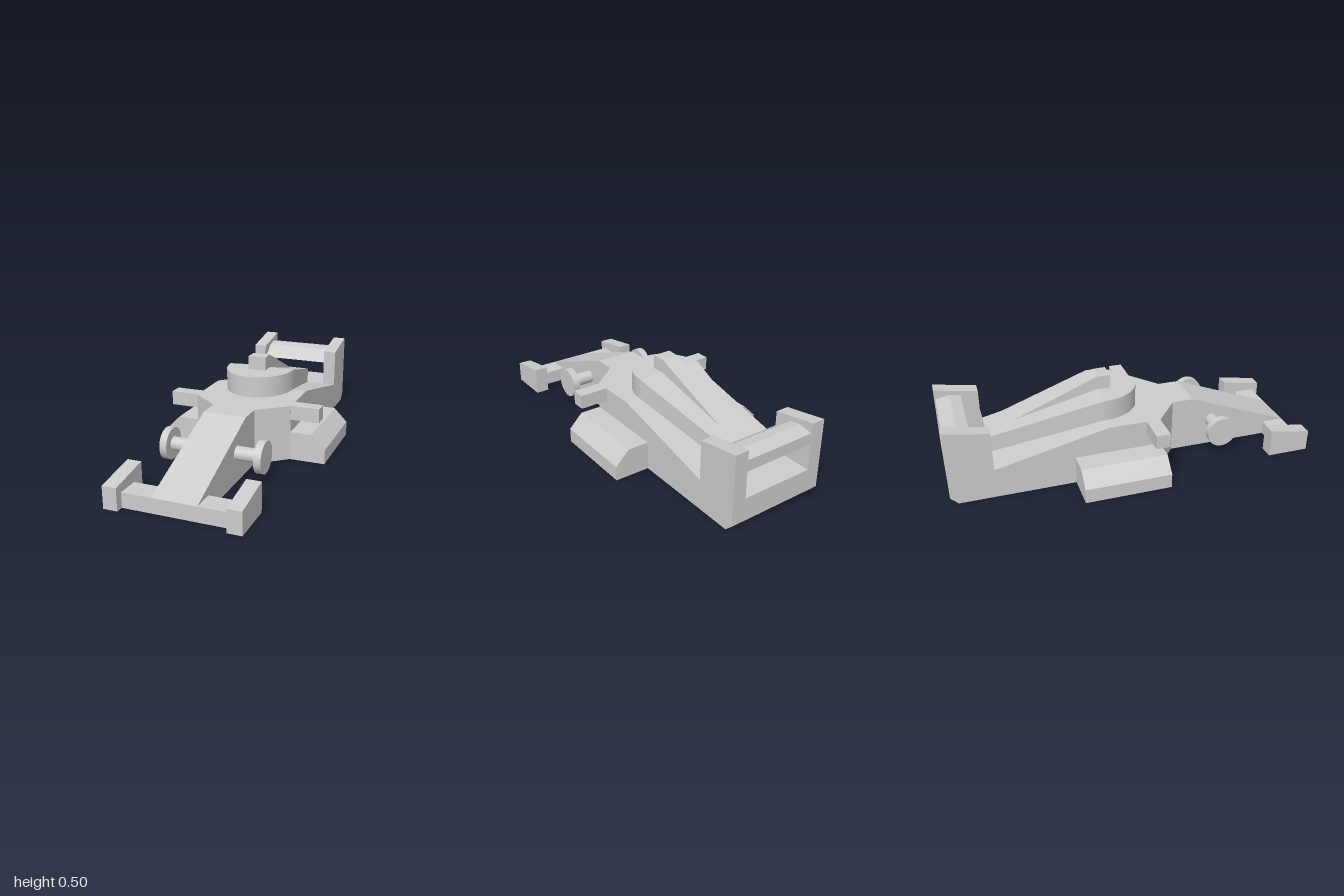
import * as THREE from 'three';
import { toCreasedNormals } from 'three/addons/utils/BufferGeometryUtils.js';

const paint = new THREE.MeshStandardMaterial({ color: 0xcccccc });
paint.name = 'light grey';

const polygon = (points) => new THREE.Shape(points.map(([a, b]) => new THREE.Vector2(a, b)));
const extrude = (shape, depth) => new THREE.ExtrudeGeometry(shape, { depth, bevelEnabled: false, curveSegments: 24 });

// Outline of [z, y] points, spanning x0 to x1
function sideExtrude(points, x0, x1) {
  return extrude(polygon(points), x1 - x0).rotateY(-Math.PI / 2).translate(x1, 0, 0);
}

// Outline of (x, z) points, spanning y0 to y1
function planExtrude(shape, y0, y1) {
  return extrude(shape, y1 - y0).rotateX(Math.PI / 2).translate(0, y1, 0);
}

// Move every vertex by a rule
function reshape(geometry, rule) {
  const p = geometry.attributes.position;
  const v = new THREE.Vector3();
  for (let i = 0; i < p.count; i++) {
    rule(v.fromBufferAttribute(p, i));
    p.setXYZ(i, v.x, v.y, v.z);
  }
  geometry.computeVertexNormals();
  return geometry;
}

export function createModel() {
  const car = new THREE.Group();
  car.name = 'racingCar';
  const add = (name, geometry) => {
    const mesh = new THREE.Mesh(geometry, paint);
    mesh.name = name;
    car.add(mesh);
    return mesh;
  };
  const box = (x0, x1, y0, y1, z0, z1) =>
    new THREE.BoxGeometry(x1 - x0, y1 - y0, z1 - z0).translate((x0 + x1) / 2, (y0 + y1) / 2, (z0 + z1) / 2);

  // Nose, shoulders and main hull
  add('nose', sideExtrude([[0.2, 0], [0.96, 0], [0.96, 0.08], [0.38, 0.305], [0.2, 0.305]], -0.117, 0.117));
  add('shoulders', planExtrude(polygon([[-0.274, 0.13], [0.274, 0.13], [0.117, 0.26], [-0.117, 0.26]]), 0, 0.305));
  add('hull', sideExtrude([[0.13, 0], [0.13, 0.305], [-0.155, 0.305], [-0.765, 0.165],
    [-1, 0.165], [-1, 0.04], [-0.96, 0]], -0.274, 0.274));

  // Cockpit surround with rounded front
  const cockpit = new THREE.Shape();
  cockpit.moveTo(0.192, -0.155);
  cockpit.absellipse(0, -0.155, 0.192, 0.225, 0, Math.PI, false);
  cockpit.closePath();
  add('cockpitSurround', toCreasedNormals(planExtrude(cockpit, 0.3, 0.42), 0.6));

  // Tapering engine cover sloping to the rear
  const cover = planExtrude(polygon([[0.192, -0.155], [-0.192, -0.155], [-0.095, -0.765], [0.095, -0.765]]), 0.28, 0.42);
  add('engineCover', reshape(cover, (v) => {
    if (v.z < -0.5) v.y = v.y > 0.35 ? 0.255 : 0.15;
  }));

  // Air intake narrowing backwards
  const intake = sideExtrude([[-0.082, 0.41], [-0.082, 0.495], [-0.155, 0.495], [-0.62, 0.292],
    [-0.62, 0.28], [-0.155, 0.41]], -0.052, 0.052);
  add('airIntake', reshape(intake, (v) => { v.x *= 1 + 0.95 * (v.z + 0.082); }));

  // Wings
  add('frontWing', box(-0.276, 0.276, 0, 0.08, 0.84, 0.96));
  add('rearWing', sideExtrude([[-0.77, 0.305], [-0.86, 0.37], [-0.92, 0.38], [-0.995, 0.365], [-0.995, 0.305]], -0.21, 0.21));

  // Paired parts
  for (const s of [1, -1]) {
    const side = s > 0 ? 'left' : 'right';
    const span = (a, b) => (s > 0 ? [a, b] : [-b, -a]);

    add(side + 'FrontEndplate', sideExtrude([[0.765, 0], [1, 0], [1, 0.118], [0.765, 0.157]], ...span(0.274, 0.35)));
    add(side + 'RearEndplate', sideExtrude([[-0.765, 0.1], [-0.765, 0.38], [-1, 0.42], [-1, 0.1]], ...span(0.2, 0.274)));
    add(side + 'Sidepod', extrude(polygon([[0.26 * s, 0], [0.468 * s, 0], [0.468 * s, 0.08],
      [0.392 * s, 0.157], [0.26 * s, 0.157]]), 0.47).translate(0, 0, -0.34));
    add(side + 'Mirror', box(...span(0.26, 0.43), 0.228, 0.305, 0.053, 0.129));

    const axle = new THREE.CylinderGeometry(0.037, 0.037, 0.14, 32).rotateZ(Math.PI / 2);
    add(side + 'Axle', axle.translate(s * 0.175, 0.157, 0.5));
    const wheel = new THREE.CylinderGeometry(0.084, 0.084, 0.039, 40).rotateZ(Math.PI / 2);
    add(side + 'Wheel', wheel.translate(s * 0.2545, 0.157, 0.5));
  }
  return car;
}
